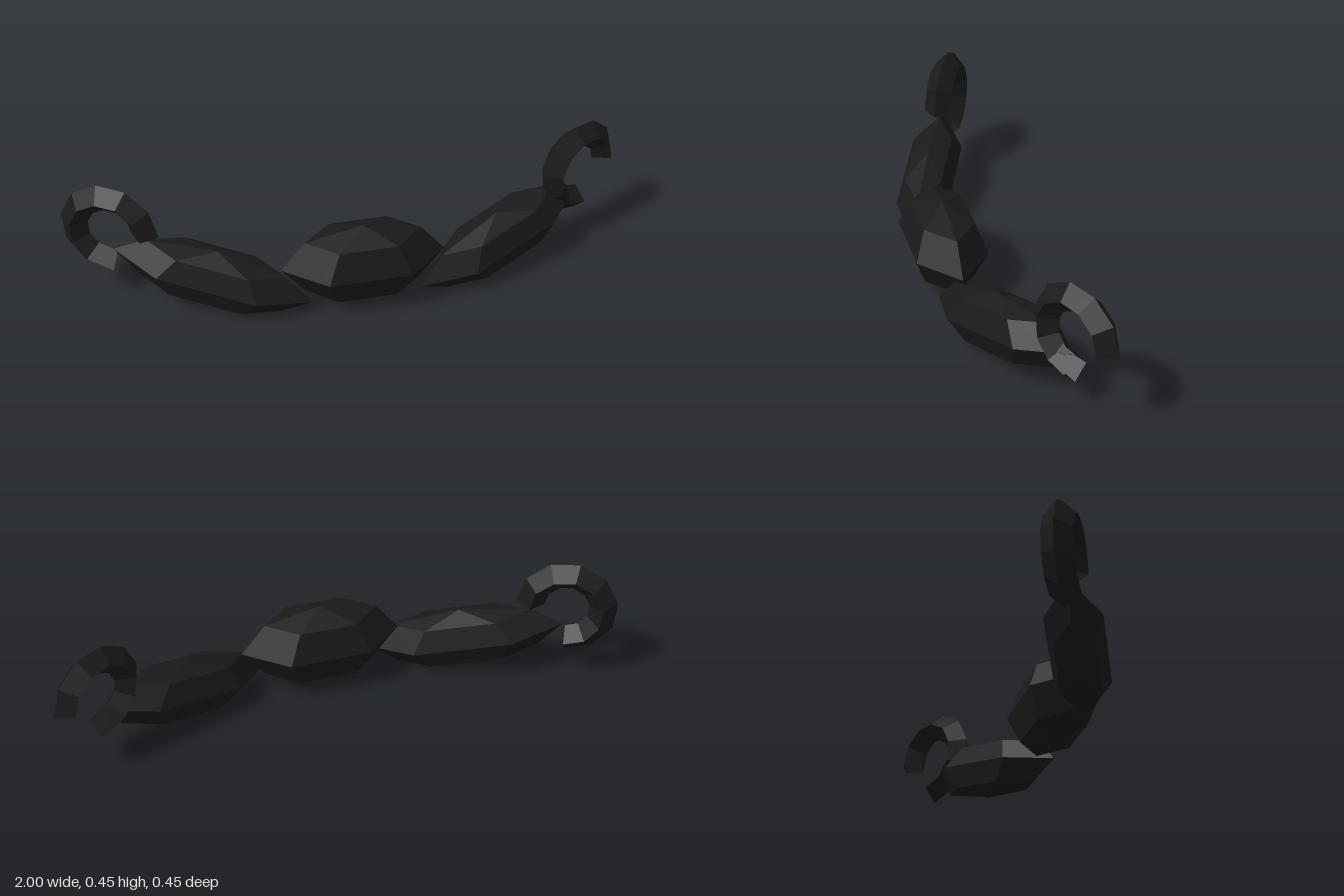
import * as THREE from 'three';

export function createModel() {
  const model = new THREE.Group();
  const black = new THREE.MeshStandardMaterial({ color: 0x1a1a1a, flatShading: true });
  const blackOpen = new THREE.MeshStandardMaterial({ color: 0x1a1a1a, flatShading: true, side: THREE.DoubleSide });

  // Low-poly bead: a six-sided, four-row sphere stretched along x
  function addBead(name, length, radius, position, yaw = 0, roll = 0) {
    const geometry = new THREE.SphereGeometry(1, 6, 4).scale(length, radius, radius);
    const bead = new THREE.Mesh(geometry, black);
    bead.name = name;
    bead.position.set(...position);
    bead.rotation.set(0, yaw, roll);
    model.add(bead);
  }

  // Three beads forming a shallow curve
  addBead('centreBead', 0.29, 0.146, [0, 0.165, 0.1]);
  for (const side of [1, -1]) {
    const label = side > 0 ? 'left' : 'right';
    addBead(label + 'Bead', 0.355, 0.11, [0.515 * side, 0.127, 0.026], 0.4 * side, 0.2 * side);

    // Open hook: three quarters of a square-section ring; both open the same way
    const hook = new THREE.Mesh(new THREE.TorusGeometry(0.13, 0.05, 4, 8, Math.PI * 1.5), blackOpen);
    hook.name = label + 'Hook';
    hook.position.set(0.842 * side, 0.276, -0.12);
    hook.rotation.y = 0.5 * side;
    model.add(hook);
  }
  return model;
}
